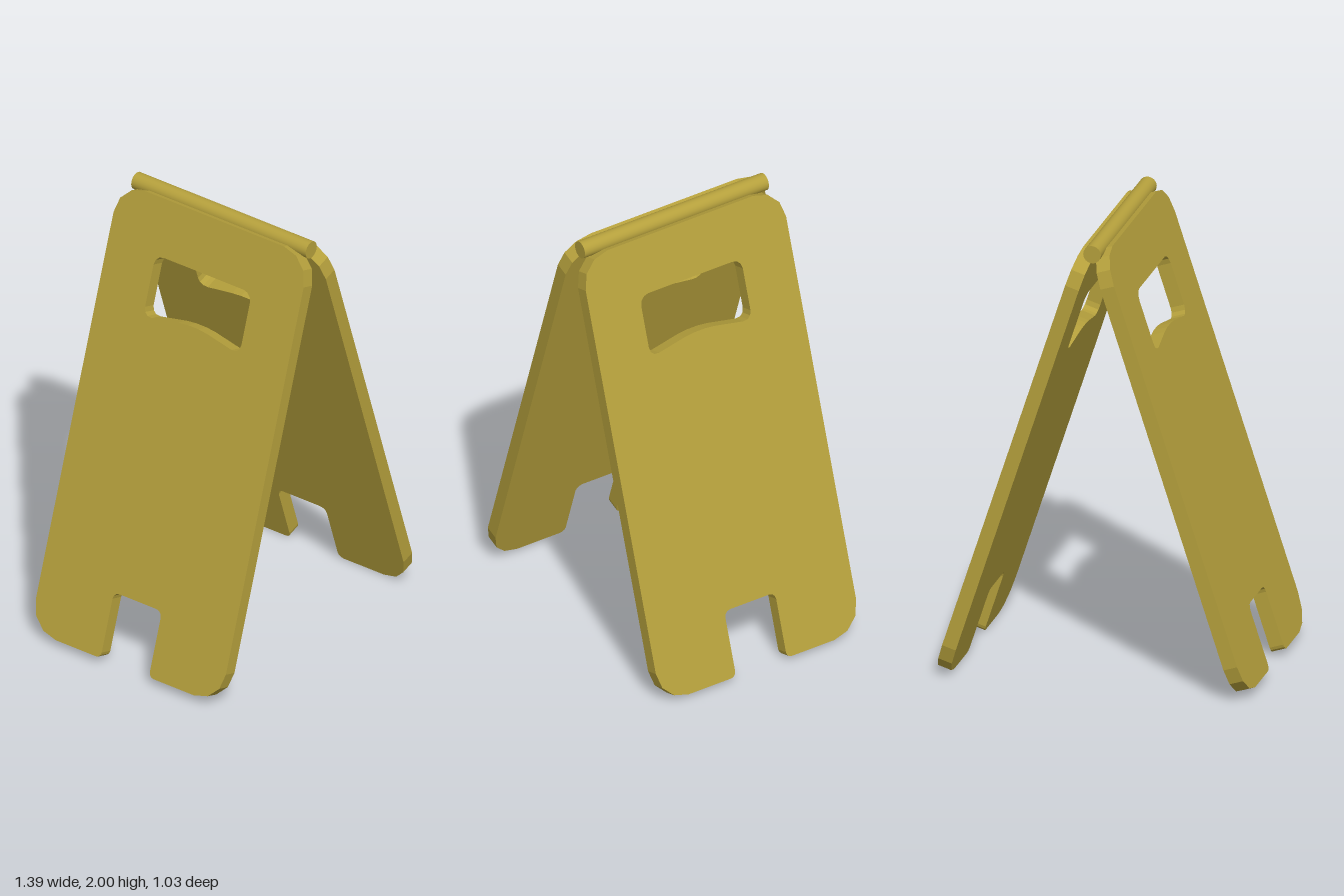
import * as THREE from 'three';

const THICK = 0.063, LENGTH = 2.04, HALF = 0.513, TILT = THREE.MathUtils.degToRad(18);

// Closed path through [x, y, radius] corners, each corner rounded
function roundedPath(path, corners) {
  const n = corners.length, K = 0.5523;
  corners.forEach(([x, y, r], i) => {
    const c = new THREE.Vector2(x, y);
    const toward = (j, d) => {
      const q = new THREE.Vector2(corners[j][0], corners[j][1]);
      return q.sub(c).setLength(d).add(c);
    };
    const prev = (i + n - 1) % n, next = (i + 1) % n;
    const a = toward(prev, r), b = toward(next, r);
    const ca = toward(prev, r * (1 - K)), cb = toward(next, r * (1 - K));
    if (i === 0) path.moveTo(a.x, a.y);
    else path.lineTo(a.x, a.y);
    path.bezierCurveTo(ca.x, ca.y, cb.x, cb.y, b.x, b.y);
  });
  path.closePath();
  return path;
}

// Board with rounded corners, a foot notch and a hand hole
function boardGeometry() {
  const shape = roundedPath(new THREE.Shape(), [
    [-HALF, 0, 0.14], [-0.13, 0, 0.025], [-0.13, 0.3, 0.03],
    [0.13, 0.3, 0.03], [0.13, 0, 0.025], [HALF, 0, 0.14],
    [HALF, LENGTH, 0.14], [-HALF, LENGTH, 0.14],
  ]);
  // Hand hole with a gently raised lower lip
  shape.holes.push(roundedPath(new THREE.Path(), [
    [-0.26, 1.508, 0.045], [-0.26, 1.79, 0.045], [0.26, 1.79, 0.045],
    [0.26, 1.508, 0.045], [0, 1.557, 0.08],
  ]));
  const geo = new THREE.ExtrudeGeometry(shape, { depth: THICK, bevelEnabled: false, curveSegments: 3 });
  return geo.rotateY(Math.PI / 2);
}

export function createModel() {
  const group = new THREE.Group();
  const material = new THREE.MeshStandardMaterial({ color: 0xb5a03c });

  // Two leaning boards, the right one set slightly higher at the hinge
  for (const side of [1, -1]) {
    const geo = boardGeometry();
    if (side < 0) geo.translate(-THICK, 0, 0);
    const board = new THREE.Mesh(geo, material);
    board.name = side > 0 ? 'leftBoard' : 'rightBoard';
    board.rotation.z = side * TILT;
    board.position.set(side * 0.635, side > 0 ? 0 : 0.014, 0);
    group.add(board);
  }

  // Hinge pin along the ridge
  const pin = new THREE.Mesh(new THREE.CylinderGeometry(0.039, 0.039, 0.942, 24).rotateX(Math.PI / 2), material);
  pin.name = 'hingePin';
  pin.position.y = 1.961;
  group.add(pin);

  return group;
}
